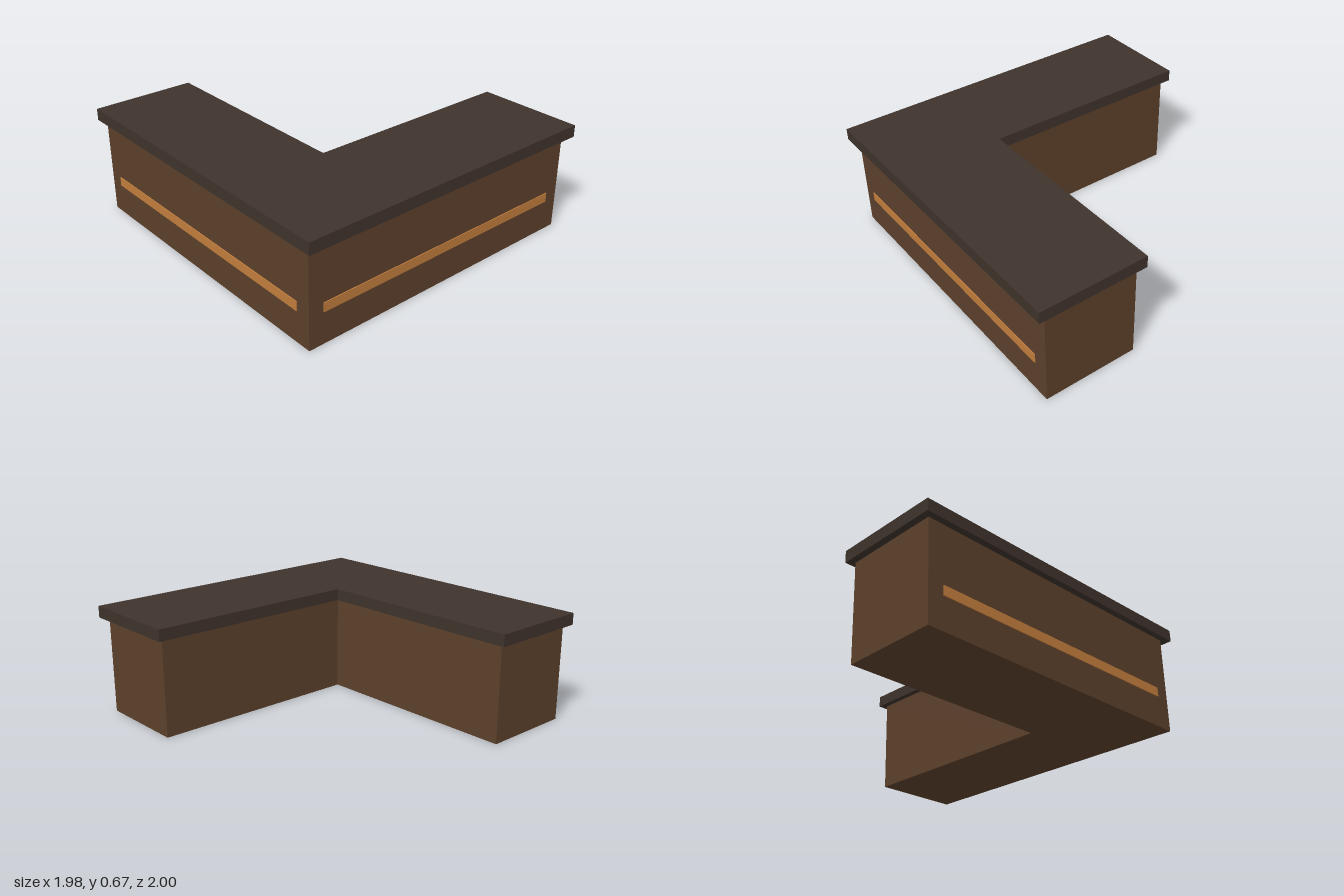
import * as THREE from 'three';

const mat = (name, color) => {
  const m = new THREE.MeshStandardMaterial({ color });
  m.name = name;
  return m;
};

// L-shaped slab: full left edge and front edge, with the back-left-hand corner cut away
function lSlab(name, x0, x1, z0, z1, innerX, innerZ, y0, y1, material) {
  const outline = [[x0, z1], [x1, z1], [x1, innerZ], [innerX, innerZ], [innerX, z0], [x0, z0]];
  const shape = new THREE.Shape(outline.map(([x, z]) => new THREE.Vector2(x, -z)));
  const geo = new THREE.ExtrudeGeometry(shape, { depth: y1 - y0, bevelEnabled: false });
  geo.rotateX(-Math.PI / 2);
  geo.translate(0, y0, 0);
  const mesh = new THREE.Mesh(geo, material);
  mesh.name = name;
  return mesh;
}

export function createModel() {
  const wood = mat('brown wood', 0x5c402b);
  const dark = mat('dark countertop', 0x3f332c);
  const trim = mat('amber trim', 0xc27d3c);
  const group = new THREE.Group();
  group.name = 'cornerCounter';

  // Cabinet body and overhanging worktop
  group.add(lSlab('counterBody', -0.95, 0.95, -0.96, 0.945, -0.38, 0.372, 0, 0.595, wood));
  group.add(lSlab('countertop', -0.988, 0.988, -1, 1, -0.345, 0.335, 0.595, 0.667, dark));

  // Thin trim strips on the two outer faces
  const strip = (name, w, d, x, z) => {
    const mesh = new THREE.Mesh(new THREE.BoxGeometry(w, 0.057, d), trim);
    mesh.name = name;
    mesh.position.set(x, 0.221, z);
    group.add(mesh);
  };
  strip('frontTrim', 1.716, 0.008, 0, 0.946);
  strip('sideTrim', 0.008, 1.716, -0.951, -0.005);

  return group;
}
